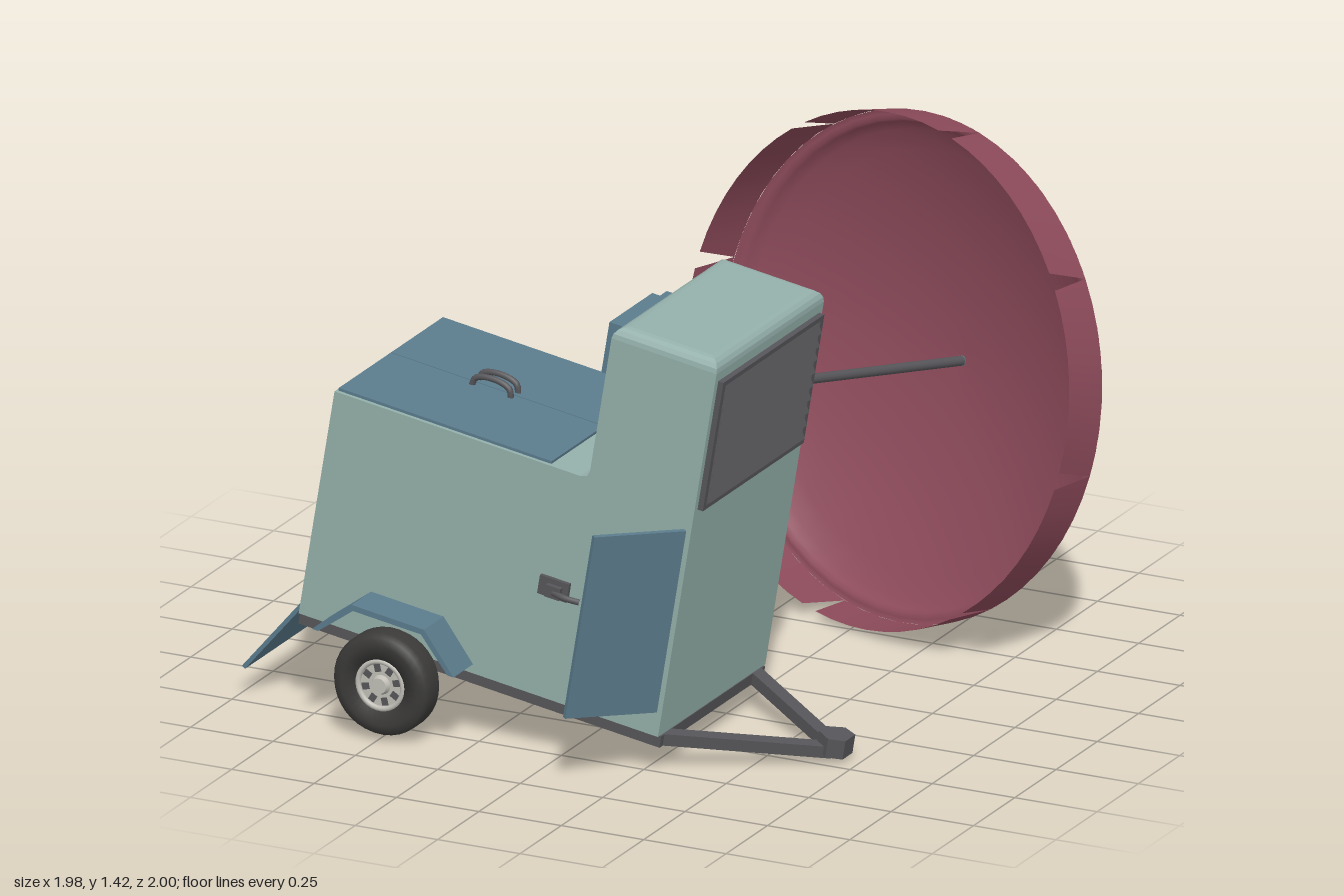
import * as THREE from 'three';

const mat = (name, color, side = THREE.FrontSide) => {
  const m = new THREE.MeshStandardMaterial({ color, side });
  m.name = name;
  return m;
};

export function createModel() {
  const teal = mat('pale teal paint', 0x93aea9);
  const blue = mat('slate blue paint', 0x5a7a8b);
  const dark = mat('dark grey metal', 0x56565a);
  const rubber = mat('tyre rubber', 0x3b3a39, THREE.DoubleSide);
  const silver = mat('wheel silver', 0xc0beb6);
  const lining = mat('light lining', 0xd0cac2, THREE.BackSide);
  const maroon = mat('maroon cloth', 0x8c4a5a, THREE.DoubleSide);

  const model = new THREE.Group();
  const trailer = new THREE.Group();
  trailer.name = 'trailer';
  trailer.position.set(-0.79, 0.28, 0);
  trailer.rotation.z = -0.164; // resting on its tow hitch
  model.add(trailer);

  const add = (parent, name, geo, material, x = 0, y = 0, z = 0) => {
    const m = new THREE.Mesh(geo, material);
    m.name = name;
    m.position.set(x, y, z);
    parent.add(m);
    return m;
  };
  const box = (parent, name, material, w, h, d, x, y, z) =>
    add(parent, name, new THREE.BoxGeometry(w, h, d), material, x, y, z);
  // Straight bar from a to b
  const beam = (parent, name, material, a, b, h, d) => {
    const A = new THREE.Vector3(...a), B = new THREE.Vector3(...b);
    const dir = B.clone().sub(A);
    const m = box(parent, name, material, dir.length(), h, d, 0, 0, 0);
    m.position.copy(A).add(B).multiplyScalar(0.5);
    m.quaternion.setFromUnitVectors(new THREE.Vector3(1, 0, 0), dir.normalize());
    return m;
  };
  const tube = (parent, name, material, pts, r) =>
    add(parent, name, new THREE.TubeGeometry(
      new THREE.CatmullRomCurve3(pts.map(p => new THREE.Vector3(...p))), 16, r, 8), material);
  const extrude = (pts, depth) => new THREE.ExtrudeGeometry(
    new THREE.Shape(pts.map(p => new THREE.Vector2(...p))), { depth, bevelEnabled: false });

  const MID = 0.44; // trailer centre line in z

  // Body: two full side slabs and a middle slab with the rear compartment cut out
  const outline = [[1.105, 0], [1.105, 1.09], [0.782, 1.09], [0.782, 0.69],
    [0.775, 0.673], [0.755, 0.667], [0, 0.667]];
  const notch = [[0, 0.335], [0.6, 0.335], [0.6, 0.03], [0, 0.03], [0, 0]];
  add(trailer, 'bodySideRight', extrude([...outline, [0, 0]], 0.045), teal, 0, 0, 0.115);
  add(trailer, 'bodySideLeft', extrude([...outline, [0, 0]], 0.045), teal, 0, 0, 0.72);
  add(trailer, 'bodyMiddle', extrude([...outline, ...notch], 0.56), teal, 0, 0, 0.16);
  box(trailer, 'compartmentLining', lining, 0.594, 0.3, 0.555, 0.297, 0.1825, MID);

  // Rounded tower cap
  const r = 0.035, hw = 0.1615 - r, hd = 0.325 - r;
  const capShape = new THREE.Shape([[-hw, -hd], [hw, -hd], [hw, hd], [-hw, hd]]
    .map(p => new THREE.Vector2(...p)));
  const capGeo = new THREE.ExtrudeGeometry(capShape,
    { depth: 0.01, bevelSize: r, bevelThickness: r, bevelSegments: 4 });
  capGeo.rotateX(-Math.PI / 2);
  add(trailer, 'towerCap', capGeo, teal, 0.9435, 1.08, MID);

  // Louvred vent on the tower
  box(trailer, 'ventPanel', dark, 0.008, 0.385, 0.61, 1.107, 0.87, MID);
  for (const s of [-1, 1]) {
    box(trailer, 'ventFrameSide', dark, 0.016, 0.385, 0.018, 1.113, 0.87, MID + s * 0.297);
    box(trailer, 'ventFrameEdge', dark, 0.016, 0.014, 0.61, 1.113, 0.87 + s * 0.186, MID);
  }
  for (let i = 0; i < 9; i++) {
    const slat = box(trailer, 'ventSlat', dark, 0.008, 0.036, 0.58, 1.117, 0.712 + i * 0.0395, MID);
    slat.rotation.z = 0.5;
  }

  // Deck lids and handles
  for (const s of [-1, 1]) {
    box(trailer, 'deckLid', blue, 0.655, 0.01, 0.314, 0.333, 0.67, MID - 0.003 + s * 0.1585);
    const z = MID - 0.005 + s * 0.022;
    tube(trailer, 'lidHandle', dark, [[0.265, 0.67, z], [0.272, 0.695, z], [0.3, 0.707, z],
      [0.35, 0.707, z], [0.378, 0.695, z], [0.385, 0.67, z]], 0.009);
  }

  // Dispenser box on the back of the tower
  box(trailer, 'dispenserBox', blue, 0.07, 0.18, 0.3, 0.748, 0.955, 0.43);
  box(trailer, 'dispenserFront', blue, 0.035, 0.15, 0.26, 0.698, 0.96, 0.43);
  for (const z of [0.34, 0.43, 0.52]) {
    box(trailer, 'dispenserTap', dark, 0.045, 0.022, 0.025, 0.745, 0.855, z);
    add(trailer, 'tapNozzle', new THREE.CylinderGeometry(0.009, 0.009, 0.03, 10), dark, 0.745, 0.835, z);
  }

  // Open side door and its latch
  beam(trailer, 'sideDoor', blue, [0.92, 0.345, 0.992], [1.088, 0.345, 0.768], 0.545, 0.014);
  box(trailer, 'latchPlate', dark, 0.09, 0.055, 0.014, 0.735, 0.325, 0.77);
  box(trailer, 'latchKnob', dark, 0.045, 0.035, 0.02, 0.74, 0.32, 0.782);
  tube(trailer, 'latchLever', dark, [[0.74, 0.318, 0.785], [0.78, 0.318, 0.795], [0.825, 0.318, 0.79]], 0.009);

  // Lowered rear flap with its latch
  beam(trailer, 'rearFlap', blue, [-0.155, -0.23, MID], [-0.003, 0.025, MID], 0.012, 0.558);
  box(trailer, 'rearLatchPlate', dark, 0.016, 0.08, 0.045, -0.006, 0.4, MID);
  box(trailer, 'rearLatchKnob', dark, 0.02, 0.035, 0.03, -0.02, 0.405, MID);
  tube(trailer, 'rearLatchHook', dark, [[-0.02, 0.385, MID], [-0.04, 0.37, MID],
    [-0.07, 0.355, MID], [-0.085, 0.34, MID]], 0.004);

  // Chassis, drawbar and hitch
  for (const s of [-1, 1]) {
    box(trailer, 'chassisRail', dark, 1.11, 0.034, 0.035, 0.555, -0.017, MID + s * 0.297);
    beam(trailer, 'drawbar', dark, [1.08, -0.017, MID + s * 0.29], [1.48, -0.017, MID + s * 0.012], 0.034, 0.042);
  }
  for (const x of [0.02, 1.09])
    box(trailer, 'chassisCrossBar', dark, 0.035, 0.034, 0.58, x, -0.017, MID);
  box(trailer, 'rearUnderPlate', dark, 0.3, 0.02, 0.56, 0.16, -0.02, MID);
  const hitch = extrude([[-0.045, 0.02], [-0.045, -0.02], [0, -0.052], [0.042, -0.03],
    [0.042, 0.03], [0, 0.052]], 0.055).rotateX(-Math.PI / 2);
  add(trailer, 'hitch', hitch, dark, 1.485, -0.025, MID);
  add(trailer, 'axle', new THREE.CylinderGeometry(0.02, 0.02, 0.7, 16).rotateX(Math.PI / 2),
    dark, 0.313, -0.075, MID);

  // Wheels and mudguards, mirrored
  const tyreProfile = [[0.072, -0.04], [0.115, -0.048], [0.138, -0.042], [0.147, -0.025],
    [0.147, 0.025], [0.138, 0.042], [0.115, 0.048], [0.072, 0.04], [0.072, -0.04]]
    .map(p => new THREE.Vector2(...p));
  const guard = [[0.097, 0.026], [0.201, 0.133], [0.424, 0.133], [0.532, 0.026],
    [0.513, 0.026], [0.417, 0.117], [0.208, 0.117], [0.116, 0.026]];
  for (const s of [-1, 1]) {
    const wheel = new THREE.Group();
    wheel.name = s > 0 ? 'leftWheel' : 'rightWheel';
    wheel.position.set(0.316, -0.075, MID + s * 0.39);
    if (s < 0) wheel.rotation.y = Math.PI;
    trailer.add(wheel);
    add(wheel, 'tyre', new THREE.LatheGeometry(tyreProfile, 36).rotateX(Math.PI / 2), rubber);
    add(wheel, 'hubDisc', new THREE.CylinderGeometry(0.073, 0.073, 0.066, 32).rotateX(Math.PI / 2), silver);
    add(wheel, 'rim', new THREE.TorusGeometry(0.068, 0.008, 8, 32), silver, 0, 0, 0.036);
    add(wheel, 'hubCap', new THREE.CylinderGeometry(0.022, 0.03, 0.02, 20).rotateX(Math.PI / 2), silver, 0, 0, 0.038);
    for (let i = 0; i < 8; i++) {
      const a = (i + 0.5) * Math.PI / 4;
      const slot = box(wheel, 'hubSlot', dark, 0.022, 0.019, 0.004,
        0.048 * Math.cos(a), 0.048 * Math.sin(a), 0.0325);
      slot.rotation.z = a;
    }
    add(trailer, 'mudguard', extrude(guard, 0.122), blue, 0, 0, s > 0 ? 0.762 : -0.004);
  }

  // Parasol: local y runs along the pole, from its socket to the canopy tip
  const parasol = new THREE.Group();
  parasol.name = 'parasol';
  parasol.position.set(0.04, 0.852, 0.18);
  parasol.quaternion.setFromUnitVectors(new THREE.Vector3(0, 1, 0),
    new THREE.Vector3(0.288, -0.171, -0.942).normalize());
  model.add(parasol);
  const RIM = 0.975;
  add(parasol, 'pole', new THREE.CylinderGeometry(0.014, 0.014, 1.2, 14), dark, 0, 0.6, 0);
  add(parasol, 'tipKnob', new THREE.CylinderGeometry(0.015, 0.015, 0.03, 14), blue, 0, RIM + 0.207, 0);
  // Domed canopy with a small fold at its rim
  const dome = [[0, 0.195], [0.12, 0.19], [0.25, 0.172], [0.38, 0.142], [0.5, 0.102],
    [0.59, 0.064], [0.645, 0.036], [0.668, 0.014], [0.674, -0.004], [0.69, 0.002], [0.703, -0.004]]
    .reverse().map(p => new THREE.Vector2(...p));
  add(parasol, 'canopy', new THREE.LatheGeometry(dome, 48), maroon, 0, RIM, 0);
  // Valance panels, each narrowing towards its free edge
  for (let k = 0; k < 8; k++) {
    const len = Math.PI / 4;
    const g = new THREE.CylinderGeometry(0.703, 0.711, 0.14, 8, 1, true, -len / 2, len);
    const p = g.attributes.position;
    for (let i = 0; i < p.count; i++) {
      if (p.getY(i) > 0) continue;
      const a = Math.atan2(p.getX(i), p.getZ(i)) * 0.91;
      p.setX(i, 0.711 * Math.sin(a));
      p.setZ(i, 0.711 * Math.cos(a));
    }
    g.rotateY((17 + 45 * k) * Math.PI / 180);
    g.computeVertexNormals();
    add(parasol, 'valancePanel', g, maroon, 0, RIM - 0.074, 0);
  }

  // Socket holding the pole on the deck
  add(model, 'poleSocket', new THREE.CylinderGeometry(0.018, 0.022, 0.08, 14), dark, 0.04, 0.845, 0.18);
  return model;
}
